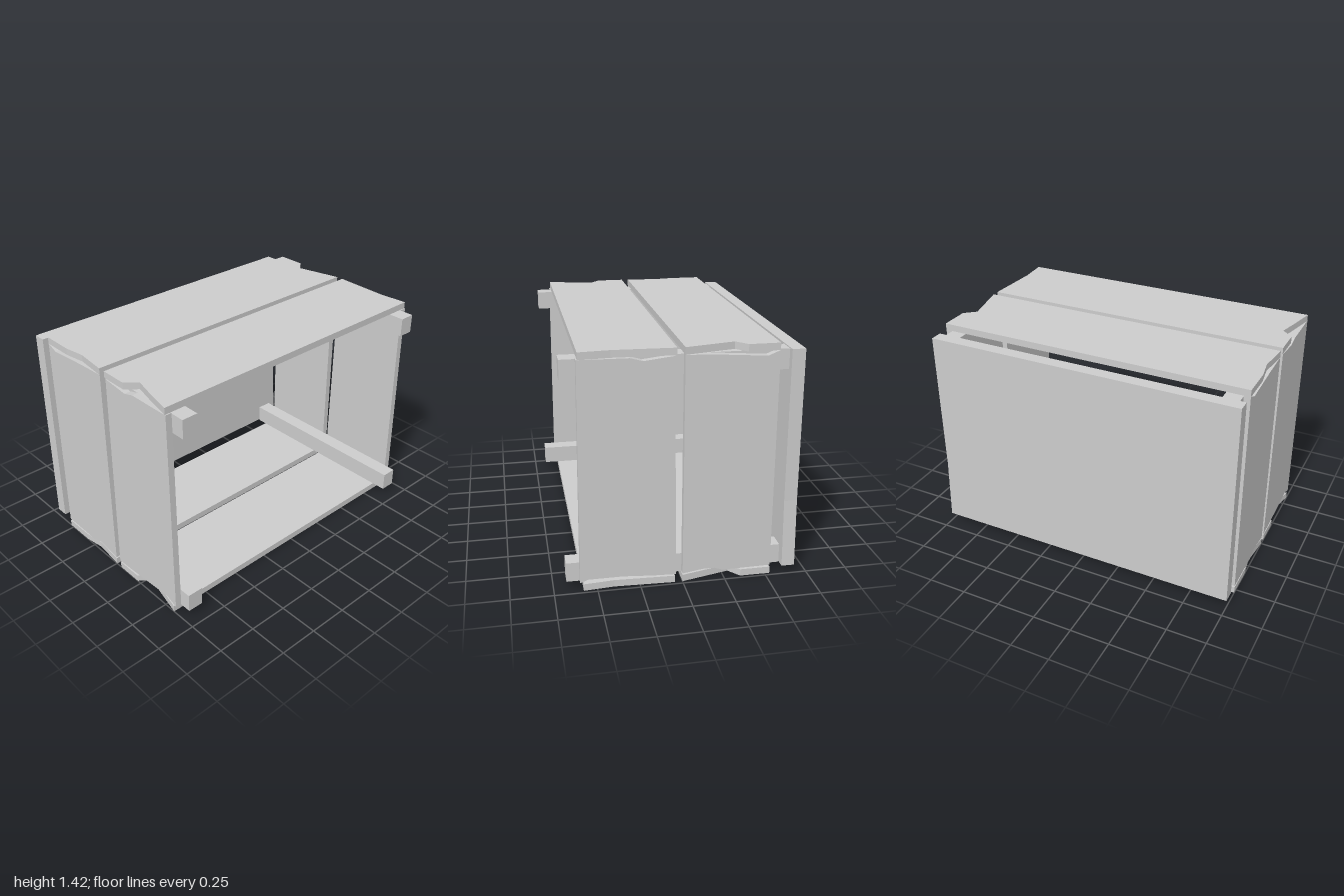
import * as THREE from 'three';

const material = new THREE.MeshStandardMaterial({ color: 0xcccccc, flatShading: true });

// Board cut from a 2D outline, with a given thickness
function board(name, outline, thickness) {
  const shape = new THREE.Shape(outline.map(([a, b]) => new THREE.Vector2(a, b)));
  const geometry = new THREE.ExtrudeGeometry(shape, { depth: thickness, bevelEnabled: false });
  const mesh = new THREE.Mesh(geometry, material);
  mesh.name = name;
  return mesh;
}

export function createModel() {
  const crate = new THREE.Group();
  crate.name = 'crate';

  // Top and bottom planks with splintered ends: outlines in x, z
  const frontPlank = [
    [-1, 0.045], [0.98, 0.045], [0.965, 0.4], [0.98, 0.58],
    [-1, 0.58], [-0.96, 0.4], [-0.93, 0.28], [-1, 0.22],
  ];
  const backPlank = [
    [-1, -0.53], [0.98, -0.53], [0.98, -0.35], [0.91, -0.29],
    [0.98, 0], [-1, 0], [-0.98, -0.2], [-1, -0.33],
  ];
  for (const [level, topY] of [['top', 1.42], ['bottom', 0.045]]) {
    for (const [place, outline] of [['Front', frontPlank], ['Back', backPlank]]) {
      const plank = board(level + place + 'Plank', outline, 0.042);
      plank.rotation.x = Math.PI / 2;
      plank.position.y = topY;
      crate.add(plank);
    }
  }

  // Side planks with splintered ends: outlines in z, y
  const frontSide = [
    [0.04, 0.055], [0.17, 0.06], [0.52, 0.085], [0.6, 0.055],
    [0.587, 1.378], [0.3, 1.375], [0.23, 1.355], [0.055, 1.375],
  ];
  const backSide = [
    [-0.53, 0.058], [-0.24, 0.055], [-0.17, 0.08], [0, 0.055],
    [0, 1.378], [-0.19, 1.37], [-0.46, 1.35], [-0.53, 1.378],
  ];
  for (const [side, outerX] of [['left', 0.98], ['right', -0.96]]) {
    for (const [place, outline] of [['Front', frontSide], ['Back', backSide]]) {
      const plank = board(side + place + 'Plank', outline, 0.04);
      plank.rotation.y = -Math.PI / 2;
      plank.position.x = outerX;
      crate.add(plank);
    }
  }

  // Back panel, flared at one lower corner
  const back = board('backPanel', [
    [-1, 0.055], [1, 0.055], [0.982, 0.47], [0.98, 1.38], [-1, 1.38],
  ], 0.078);
  back.position.z = -0.675;
  crate.add(back);

  // Corner rails running front to back
  for (const x of [-0.91, 0.89]) {
    for (const y of [0.108, 1.315]) {
      const rail = new THREE.Mesh(new THREE.BoxGeometry(0.1, 0.118, 1.272), material);
      rail.name = 'cornerRail';
      rail.position.set(x, y, 0.039);
      crate.add(rail);
    }
  }
  return crate;
}
